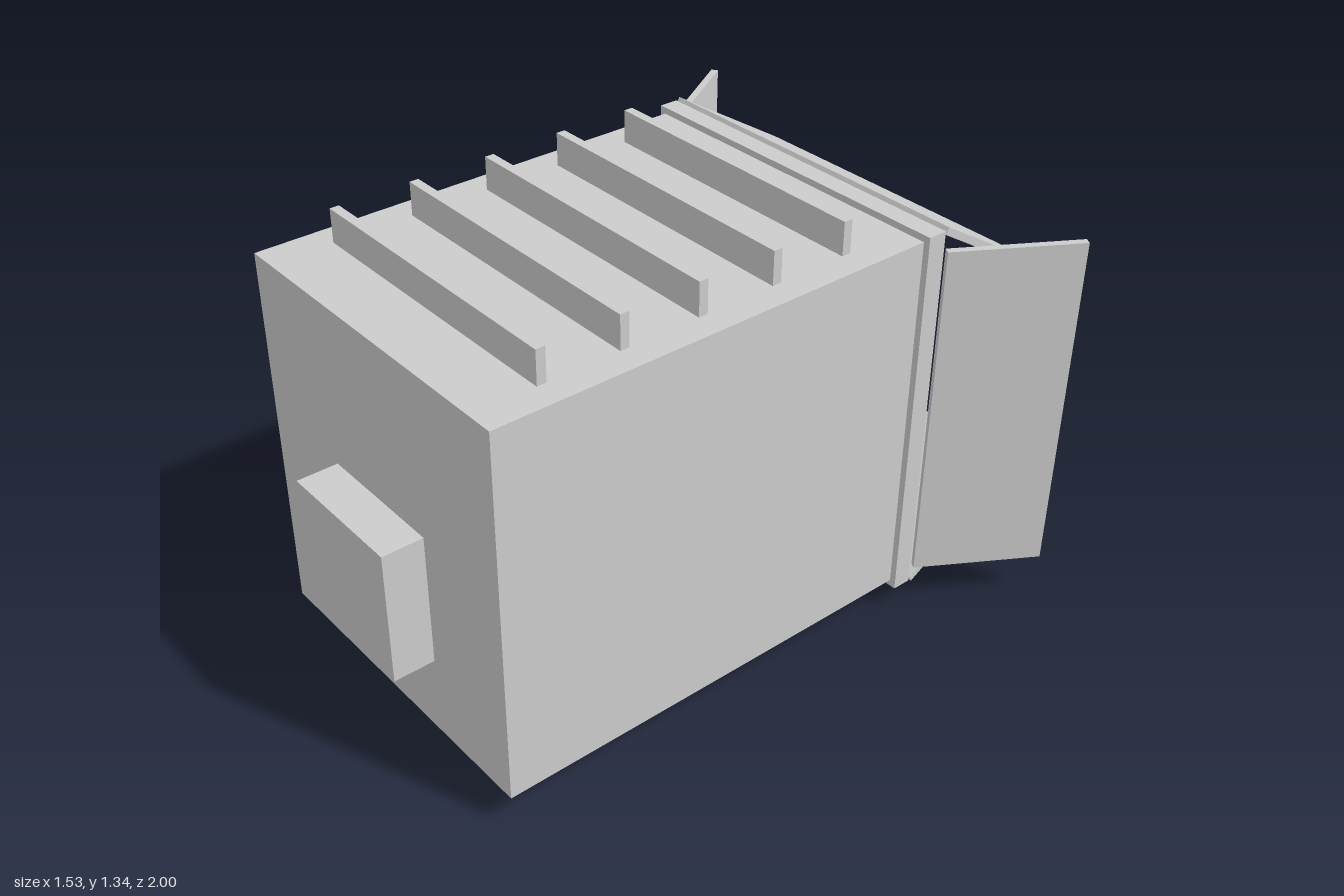
import * as THREE from 'three';

export function createModel() {
  const model = new THREE.Group();
  model.name = 'stageLight';
  const grey = new THREE.MeshStandardMaterial({ color: 0xcccccc });
  grey.name = 'light grey';

  const add = (name, geometry, x, y, z) => {
    const mesh = new THREE.Mesh(geometry, grey);
    mesh.name = name;
    mesh.position.set(x, y, z);
    model.add(mesh);
    return mesh;
  };
  const box = (name, w, h, d, x, y, z) => add(name, new THREE.BoxGeometry(w, h, d), x, y, z);
  const midY = 0.666;

  // Housing, rear connector box and the frame around the lens
  box('housing', 1.06, 1.14, 1.39, 0, midY, 0.182);
  box('connectorBox', 0.41, 0.406, 0.123, 0, 0.542, 0.9385);
  box('lensFrame', 1.1, 1.18, 0.06, 0, midY, -0.543);

  // Cooling fins across the roof
  for (let i = 0; i < 5; i++) {
    box('coolingFin', 0.9, 0.1, 0.028, 0, 1.286, 0.674 - i * 0.245);
  }

  // Octagonal focus knob under the housing
  const knob = new THREE.CylinderGeometry(0.05, 0.05, 0.16, 8).toNonIndexed();
  knob.computeVertexNormals();
  knob.rotateZ(Math.PI / 2);
  add('focusKnob', knob, 0, 0.05, 0.676);

  // Stepped lens rings, each one standing on the last
  const rings = [[0.4, -0.585], [0.275, -0.602], [0.16, -0.625]];
  let base = -0.573;
  for (const [radius, face] of rings) {
    const ring = new THREE.CylinderGeometry(radius, radius, base - face, 40);
    ring.rotateX(-Math.PI / 2);
    add('lensRing', ring, 0, midY, (base + face) / 2);
    base = face;
  }

  // Barn doors: top and bottom tilt inward, sides flare outward
  const tilt = Math.atan2(0.25, 0.412);
  for (const s of [1, -1]) {
    const flap = box(s > 0 ? 'topBarnDoor' : 'bottomBarnDoor',
      1.1, 0.022, 0.482, 0, midY + s * 0.463, -0.786);
    flap.rotation.x = -s * tilt;

    const side = box(s > 0 ? 'leftBarnDoor' : 'rightBarnDoor',
      0.022, 1.065, 0.39, s * 0.656, midY, -0.746);
    side.rotation.y = -s * Math.atan2(0.203, 0.333);
  }

  return model;
}
